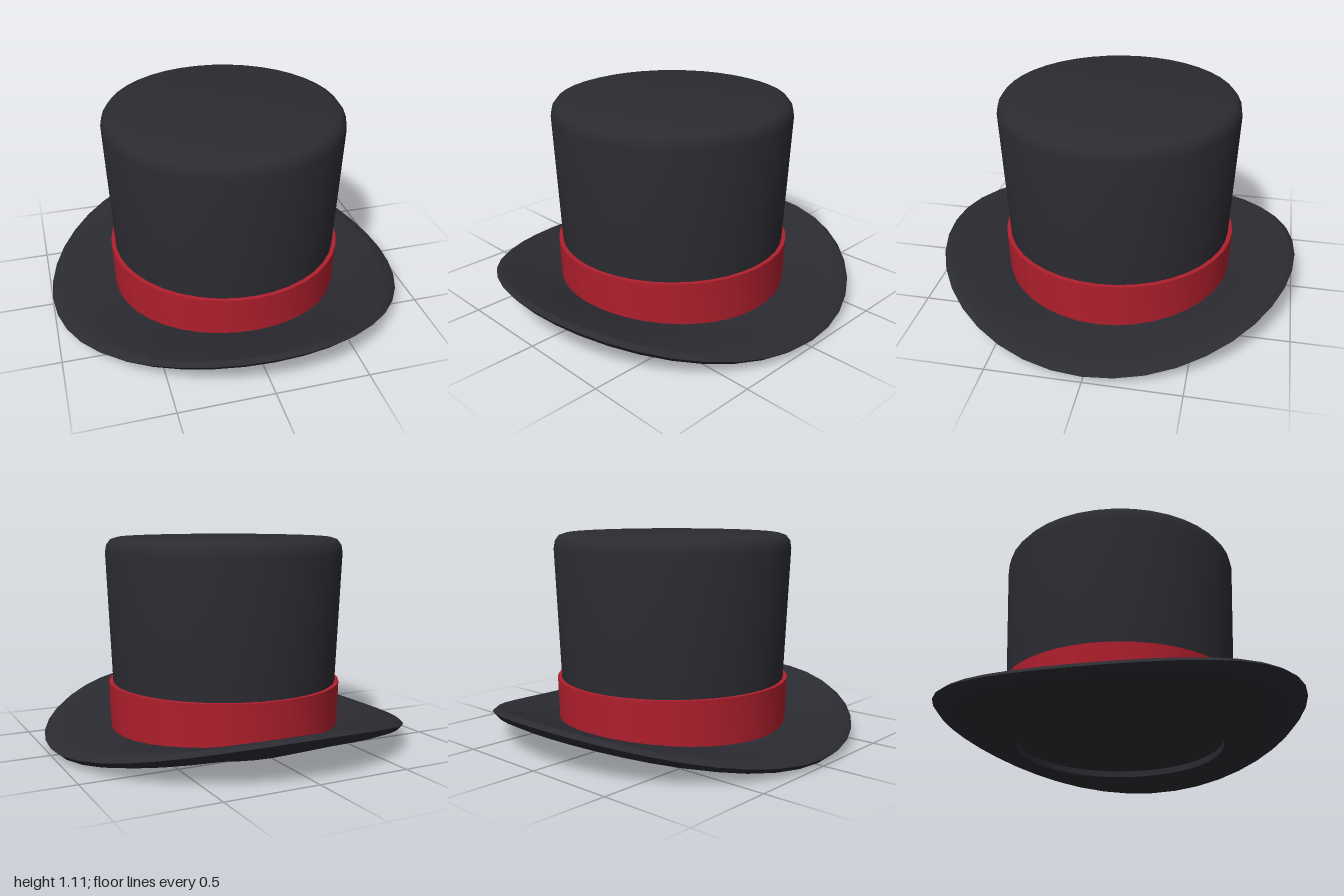
import * as THREE from 'three';
import { toCreasedNormals } from 'three/addons/utils/BufferGeometryUtils.js';

const SEGMENTS = 40;
const HOLE_RADIUS = 0.55;
const EDGE_LIFT = 0.18;

// Turn a profile of [radius, height] pairs around the y axis
function lathe(profile) {
  return new THREE.LatheGeometry(profile.map(([r, y]) => new THREE.Vector2(r, y)), SEGMENTS);
}

function addPart(group, name, geometry, material) {
  const mesh = new THREE.Mesh(toCreasedNormals(geometry, 0.75), material);
  mesh.name = name;
  group.add(mesh);
}

// Curl the brim upward at front and back, growing from the hole to the edge
function curlBrim(geometry) {
  const p = geometry.attributes.position;
  for (let i = 0; i < p.count; i++) {
    const x = p.getX(i), z = p.getZ(i);
    const r = Math.hypot(x, z);
    const reach = (r - HOLE_RADIUS) / (1 - HOLE_RADIUS);
    p.setY(i, p.getY(i) + EDGE_LIFT * reach * (z / r) ** 2);
  }
  return geometry;
}

export function createModel() {
  const felt = new THREE.MeshStandardMaterial({ color: 0x2b2b32 });
  felt.name = 'black felt';
  const ribbon = new THREE.MeshStandardMaterial({ color: 0xb01f2d });
  ribbon.name = 'red ribbon';

  const hat = new THREE.Group();
  hat.name = 'topHat';

  // Crown: slightly flared, rounded top edge, closed below
  addPart(hat, 'crown', lathe([
    [0, 0.035], [0.61, 0.035], [0.62, 0.32], [0.65, 1.03],
    [0.643, 1.07], [0.622, 1.098], [0.585, 1.11], [0, 1.11],
  ]), felt);

  // Brim: thick ring with a rounded edge
  addPart(hat, 'brim', curlBrim(lathe([
    [HOLE_RADIUS, 0], [0.73, 0], [0.91, 0], [0.97, 0.01], [1, 0.037],
    [0.975, 0.063], [0.91, 0.072], [0.73, 0.072], [HOLE_RADIUS, 0.072], [HOLE_RADIUS, 0],
  ])), felt);

  // Ribbon band around the foot of the crown
  addPart(hat, 'band', lathe([
    [0.6, 0.06], [0.635, 0.06], [0.643, 0.32], [0.61, 0.32],
  ]), ribbon);

  return hat;
}
